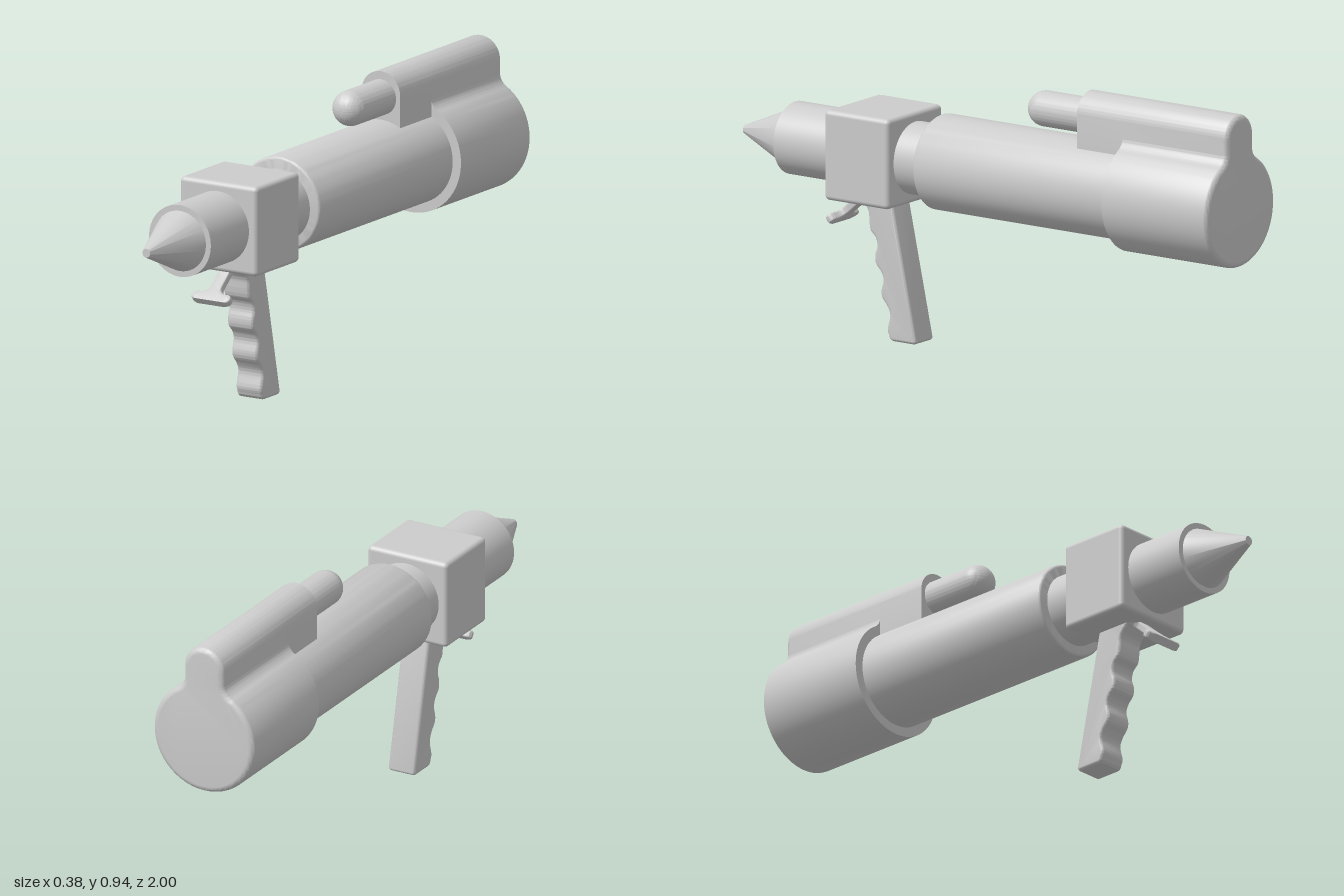
import * as THREE from 'three';
import { toCreasedNormals } from 'three/addons/utils/BufferGeometryUtils.js';
import { RoundedBoxGeometry } from 'three/addons/geometries/RoundedBoxGeometry.js';

const AXIS = 0.615; // height of the barrel axis
const V2 = (x, y) => new THREE.Vector2(x, y);

// Solid of revolution along z from [radius, z] pairs, listed back to front
function turned(profile, y) {
  const g = new THREE.LatheGeometry(profile.map(([r, z]) => V2(r, z)), 64);
  g.rotateX(Math.PI / 2);
  g.translate(0, y, 0);
  return toCreasedNormals(g, 0.6);
}

// Outline (counter-clockwise) lofted through [inset, z] rings, front to back, capped at both ends
function loft(outline, rings) {
  const n = outline.length;
  const inward = outline.map((p, i) => {
    const d = outline[(i + 1) % n].clone().sub(outline[(i + n - 1) % n]).normalize();
    return V2(-d.y, d.x);
  });
  const pos = [], index = [];
  for (const [inset, z] of rings)
    outline.forEach((p, i) => pos.push(p.x + inward[i].x * inset, p.y + inward[i].y * inset, z));
  for (let r = 0; r < rings.length - 1; r++)
    for (let i = 0; i < n; i++) {
      const a = r * n + i, b = r * n + (i + 1) % n;
      index.push(a, a + n, b, b, a + n, b + n);
    }
  const last = (rings.length - 1) * n;
  for (const [a, b, c] of THREE.ShapeUtils.triangulateShape(outline, []))
    index.push(a, b, c, last + a, last + c, last + b);
  const g = new THREE.BufferGeometry();
  g.setAttribute('position', new THREE.Float32BufferAttribute(pos, 3));
  g.setIndex(index);
  return toCreasedNormals(g, 0.6);
}

// Plate with rounded edges, centred on its thickness
function plate(shape, thickness, bevel) {
  const g = new THREE.ExtrudeGeometry(shape, {
    depth: thickness - 2 * bevel, bevelThickness: bevel, bevelSize: bevel,
    bevelOffset: -bevel, bevelSegments: 4, curveSegments: 10,
  });
  g.translate(0, 0, bevel - thickness / 2);
  return toCreasedNormals(g, 0.6);
}

export function createModel() {
  const group = new THREE.Group();
  const grey = new THREE.MeshStandardMaterial({ color: 0xcccccc });
  grey.name = 'light grey';
  const add = (name, geometry) => {
    const m = new THREE.Mesh(geometry, grey);
    m.name = name;
    group.add(m);
    return m;
  };

  // Nose cone, inner tube and main barrel
  add('noseCone', turned([[0.102, 0.797], [0.015, 1], [0, 1]], 0.613));
  add('innerTube', turned([[0.12, 0.15], [0.12, 0.8], [0, 0.8]], 0.613));
  const barrel = [[0.158, -0.62]];
  for (let i = 0; i <= 5; i++) {
    const a = i / 5 * Math.PI / 2;
    barrel.push([0.146 + 0.012 * Math.cos(a), 0.2 + 0.012 * Math.sin(a)]);
  }
  add('mainBarrel', turned([...barrel, [0, 0.212]], AXIS));

  // Square block around the tube
  const block = add('squareBlock', new RoundedBoxGeometry(0.3, 0.3, 0.26, 4, 0.016));
  block.position.set(0, 0.613, 0.444);

  // Rear housing: round body blended into a raised rail, rounded at the back
  const a = Math.atan2(0.158, 0.105);
  const body = new THREE.Shape()
    .moveTo(0.075, 0.86)
    .absarc(0, 0.86, 0.075, 0, Math.PI, false)
    .lineTo(-0.075, 0.815)
    .quadraticCurveTo(-0.075, 0.79, -0.105, AXIS + 0.158)
    .absarc(0, AXIS, 0.19, Math.PI - a, 2 * Math.PI + a, false)
    .quadraticCurveTo(0.075, 0.79, 0.075, 0.815);
  const outline = body.getPoints(40).filter((p, i, all) =>
    p.distanceTo(all[(i + 1) % all.length]) > 0.0005);
  const rings = [[0, -0.578]];
  for (let i = 0; i <= 5; i++) {
    const t = i / 5 * Math.PI / 2;
    rings.push([0.02 * (1 - Math.cos(t)), -0.98 - 0.02 * Math.sin(t)]);
  }
  add('rearHousing', loft(outline, rings));

  // Rail reaching forward over the barrel
  const rail = new THREE.Shape()
    .moveTo(0.075, 0.72)
    .lineTo(0.075, 0.86)
    .absarc(0, 0.86, 0.075, 0, Math.PI, false)
    .lineTo(-0.075, 0.72);
  const railPoints = rail.getPoints(40).filter((p, i, all) =>
    p.distanceTo(all[(i + 1) % all.length]) > 0.0005);
  add('topRail', loft(railPoints, [[0, -0.393], [0, -0.6]]));

  // Round-ended rod in front of the rail
  const rod = [[0.059, -0.42]];
  for (let i = 0; i <= 12; i++) {
    const t = i / 12 * Math.PI / 2;
    rod.push([0.059 * Math.cos(t), -0.213 + 0.058 * Math.sin(t)]);
  }
  add('topRod', turned(rod, 0.849));

  // Grip with finger grooves, drawn in the (z, y) plane
  const grip = new THREE.Shape()
    .moveTo(0.38, 0.49)
    .lineTo(0.278, 0.015)
    .quadraticCurveTo(0.276, 0.002, 0.29, 0)
    .lineTo(0.37, 0)
    .quadraticCurveTo(0.385, 0.002, 0.388, 0.018)
    .splineThru([
      [0.394, 0.04], [0.384, 0.085], [0.394, 0.113], [0.415, 0.14], [0.419, 0.165],
      [0.411, 0.2], [0.42, 0.226], [0.441, 0.25], [0.444, 0.28], [0.436, 0.31],
      [0.442, 0.337], [0.462, 0.358], [0.468, 0.385], [0.473, 0.425], [0.505, 0.462],
    ].map(([z, y]) => V2(z, y)))
    .lineTo(0.505, 0.49);
  add('grip', plate(grip, 0.1, 0.01).rotateY(-Math.PI / 2));

  // T-shaped trigger, sloping forward and down from the block
  const trigger = new THREE.Shape()
    .moveTo(-0.06, 0)
    .lineTo(0.06, 0)
    .absarc(0.058, 0.017, 0.017, -Math.PI / 2, Math.PI / 2, false)
    .lineTo(0.045, 0.034)
    .quadraticCurveTo(0.022, 0.038, 0.022, 0.065)
    .lineTo(0.022, 0.12)
    .quadraticCurveTo(0.024, 0.14, 0.045, 0.15)
    .lineTo(0.045, 0.17)
    .lineTo(-0.045, 0.17)
    .lineTo(-0.045, 0.15)
    .quadraticCurveTo(-0.024, 0.14, -0.022, 0.12)
    .lineTo(-0.022, 0.065)
    .quadraticCurveTo(-0.022, 0.038, -0.045, 0.034)
    .lineTo(-0.058, 0.034)
    .absarc(-0.058, 0.017, 0.017, Math.PI / 2, Math.PI * 1.5, false);
  const t = add('trigger', plate(trigger, 0.028, 0.008));
  t.rotation.x = -0.86;
  t.position.set(0, 0.37, 0.622);

  return group;
}
